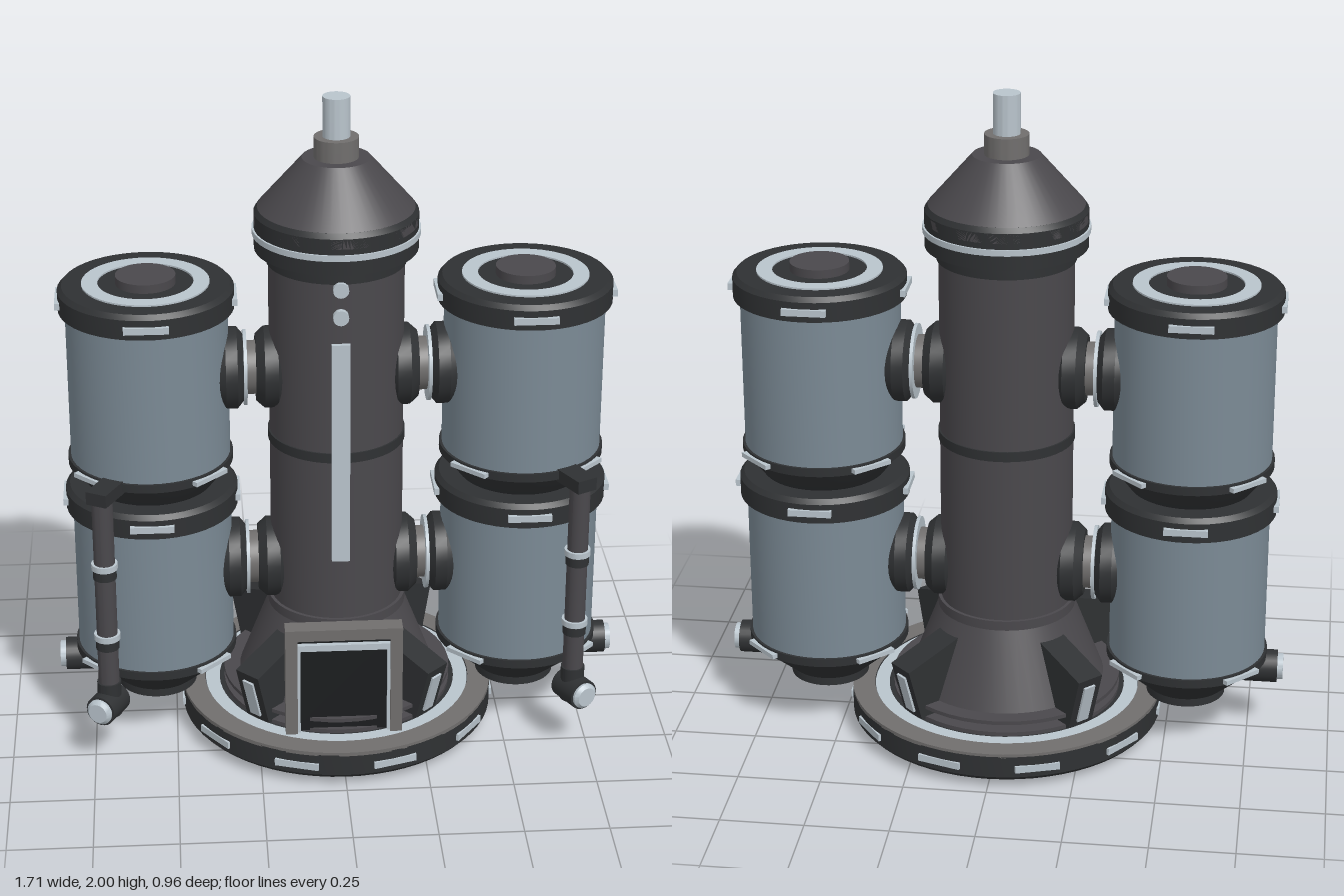
import * as THREE from 'three';
import { toCreasedNormals } from 'three/addons/utils/BufferGeometryUtils.js';

const mat = (color, extra = {}) => new THREE.MeshStandardMaterial({ color, ...extra });
const dark = mat(0x2f3133), black = mat(0x1b1d1f), shell = mat(0x4a484c), grey = mat(0x706e6d);
const blue = mat(0x7b8a95), light = mat(0xb9c4cc);

function add(parent, name, geo, material, x = 0, y = 0, z = 0) {
  const m = new THREE.Mesh(geo, material);
  m.name = name;
  m.position.set(x, y, z);
  parent.add(m);
  return m;
}

// Turned part from [radius, height] points, bottom to top, with sharp edges kept
function turned(points, segments = 48) {
  const g = new THREE.LatheGeometry(points.map(([r, y]) => new THREE.Vector2(r, y)), segments);
  return toCreasedNormals(g, 0.35);
}
const drum = (r, y0, y1, seg) => turned([[0, y0], [r, y0], [r, y1], [0, y1]], seg);
const box = (w, h, d) => new THREE.BoxGeometry(w, h, d);

// Group turned about y so its +z points outward at the given angle
function spoke(parent, name, angle) {
  const g = new THREE.Group();
  g.name = name;
  g.rotation.y = angle;
  parent.add(g);
  return g;
}

// Evenly spaced light plates around a rim
function plates(parent, count, start, radius, y, w, h) {
  for (let i = 0; i < count; i++) {
    const s = spoke(parent, 'rimPlate', start + (i * 2 * Math.PI) / count);
    add(s, 'plate', box(w, h, 0.03), light, 0, y, radius - 0.01);
  }
}

function doorway(halfW, top, wall, bottom) {
  const s = new THREE.Shape();
  const i = halfW - wall, t = top - wall;
  [[-halfW, bottom], [-i, bottom], [-i, t], [i, t], [i, bottom], [halfW, bottom], [halfW, top], [-halfW, top]]
    .forEach(([x, y], k) => (k ? s.lineTo(x, y) : s.moveTo(x, y)));
  return s;
}
const extrude = (shape, depth) => new THREE.ExtrudeGeometry(shape, { depth, bevelEnabled: false });

function buildBase() {
  const g = new THREE.Group();
  g.name = 'base';
  add(g, 'baseDisc', turned([[0, 0.026], [0.465, 0.026], [0.478, 0.04], [0.478, 0.108], [0, 0.108]], 64), dark);
  add(g, 'baseLip', turned([[0.41, 0.105], [0.478, 0.105], [0.478, 0.117], [0.41, 0.117]], 64), grey);
  add(g, 'lightRing', turned([[0.365, 0.1], [0.408, 0.1], [0.408, 0.114], [0.365, 0.114]], 64), light);
  add(g, 'skirt', turned([[0.35, 0.1], [0.35, 0.12], [0.3, 0.12], [0.3, 0.145], [0.35, 0.145], [0.35, 0.157],
    [0.3, 0.157], [0.21, 0.39], [0.21, 0.42], [0.19, 0.42]]), shell);
  plates(g, 10, Math.PI / 10, 0.476, 0.068, 0.135, 0.022);

  // Diagonal buttresses with feet below the disc
  const fin = new THREE.Shape([[0.15, 0.11], [0.36, 0.11], [0.407, 0.285], [0.15, 0.37]]
    .map(([x, y]) => new THREE.Vector2(x, y)));
  for (let i = 0; i < 4; i++) {
    const s = spoke(g, 'buttress', Math.PI / 4 + (i * Math.PI) / 2);
    add(s, 'fin', extrude(fin, 0.09), dark, 0.045).rotation.y = -Math.PI / 2;
    add(s, 'finStrip', box(0.04, 0.13, 0.012), light, 0, 0.195, 0.384).rotation.x = 0.26;
    add(s, 'foot', box(0.085, 0.03, 0.045), dark, 0, 0.015, 0.32);
  }

  // Doorway
  add(g, 'doorFrame', extrude(doorway(0.175, 0.468, 0.036, 0.115), 0.055), grey, 0, 0, 0.305);
  add(g, 'doorTrim', extrude(doorway(0.15, 0.412, 0.02, 0.115), 0.03), light, 0, 0, 0.32);
  add(g, 'doorPanel', box(0.3, 0.325, 0.025), black, 0, 0.275, 0.322);
  return g;
}

function buildColumn() {
  const g = new THREE.Group();
  g.name = 'column';
  add(g, 'columnBody', drum(0.2, 0.1, 1.56), shell);
  add(g, 'middleBand', drum(0.205, 0.94, 0.97), dark);
  add(g, 'upperBand', drum(0.206, 1.505, 1.535), dark);
  add(g, 'headCollar', turned([[0, 1.545], [0.24, 1.545], [0.24, 1.655], [0.23, 1.67], [0, 1.67]]), dark);
  add(g, 'headRing', drum(0.246, 1.59, 1.608), light);
  add(g, 'headCone', turned([[0.24, 1.625], [0.24, 1.655], [0.228, 1.672], [0.1, 1.818], [0, 1.818]]), shell);
  add(g, 'mastSocket', drum(0.065, 1.81, 1.88), grey);
  add(g, 'mast', drum(0.04, 1.87, 2), light);
  add(g, 'frontStrip', box(0.054, 0.7, 0.03), light, 0, 0.97, 0.199);
  for (const y of [1.405, 1.49])
    add(g, 'frontLamp', drum(0.023, 0, 0.03, 20), light, 0, y, 0.188).rotation.x = Math.PI / 2;
  return g;
}

function buildTank() {
  const g = new THREE.Group();
  g.name = 'tankStack';
  add(g, 'bottomCone', turned([[0, 0.12], [0.12, 0.12], [0.12, 0.145], [0.24, 0.25], [0, 0.25]]), dark);
  add(g, 'lowerTank', drum(0.238, 0.25, 0.76), blue);
  add(g, 'upperTank', drum(0.238, 0.89, 1.4), blue);
  add(g, 'waist', turned([[0.17, 0.8], [0.185, 0.81], [0.238, 0.88], [0.238, 0.89]]), dark);
  // Bands and caps
  for (const [y, r, h] of [[0.25, 0.246, 0.026], [0.88, 0.246, 0.026]]) add(g, 'thinBand', drum(r, y, y + h), dark);
  for (const y of [0.735, 1.37])
    add(g, 'cap', turned([[0, y], [0.258, y], [0.258, y + 0.06], [0.245, y + 0.074], [0, y + 0.074]]), dark);
  plates(g, 4, 0, 0.26, 1.4, 0.13, 0.02);
  plates(g, 4, 0, 0.26, 0.768, 0.13, 0.02);
  plates(g, 4, Math.PI / 4, 0.25, 0.893, 0.13, 0.014);
  plates(g, 4, Math.PI / 4, 0.25, 0.263, 0.13, 0.014);
  add(g, 'lidRing', turned([[0.14, 1.43], [0.187, 1.43], [0.187, 1.449], [0.14, 1.449], [0.14, 1.43]]), light);
  add(g, 'lidHatch', drum(0.088, 1.43, 1.47), shell);
  return g;
}

// Stack, couplings and pipe on one side: s = 1 for left, -1 for right
function buildSide(s) {
  const g = new THREE.Group();
  g.name = s > 0 ? 'leftTankAssembly' : 'rightTankAssembly';
  const tank = buildTank();
  tank.position.x = s * 0.557;
  g.add(tank);

  // Couplings to the column
  for (const y of [1.167, 0.535]) {
    const c = new THREE.Group();
    c.name = 'coupling';
    c.position.y = y;
    c.rotation.z = -s * Math.PI / 2;
    g.add(c);
    add(c, 'columnHub', turned([[0, 0.13], [0.1, 0.155], [0.122, 0.175], [0.122, 0.215], [0.1, 0.24], [0, 0.24]], 32), dark);
    add(c, 'couplingNeck', drum(0.08, 0.23, 0.28, 32), grey);
    add(c, 'couplingRing', drum(0.113, 0.267, 0.277, 32), light);
    add(c, 'tankHub', turned([[0, 0.277], [0.1, 0.277], [0.122, 0.295], [0.122, 0.33], [0.11, 0.36], [0, 0.36]], 32), dark);
  }

  // Outer nozzle
  const n = spoke(tank, 'nozzle', s * Math.PI / 2);
  add(n, 'nozzleBody', drum(0.05, 0.15, 0.28, 24), dark, 0, 0.215, 0).rotation.x = Math.PI / 2;
  add(n, 'nozzleCap', drum(0.04, 0.27, 0.297, 24), light, 0, 0.215, 0).rotation.x = Math.PI / 2;

  // Drain pipe on the outer front
  const p = spoke(tank, 'drainPipe', s * 0.49);
  add(p, 'pipe', drum(0.031, 0.19, 0.9, 24), shell, 0, 0, 0.305);
  add(p, 'pipeTop', box(0.066, 0.04, 0.12), dark, 0, 0.89, 0.28);
  for (const y of [0.425, 0.66]) add(p, 'pipeClamp', drum(0.039, y - 0.009, y + 0.009, 24), light, 0, 0, 0.305);
  for (const y of [0.405, 0.64]) add(p, 'pipeSleeve', drum(0.035, y - 0.02, y + 0.02, 24), dark, 0, 0, 0.305);
  add(p, 'pipeFoot', drum(0.036, 0.16, 0.27, 24), dark, 0, 0, 0.305);
  add(p, 'valve', drum(0.047, 0.265, 0.365, 24), dark, 0, 0.195, 0).rotation.x = Math.PI / 2;
  add(p, 'valveCap', turned([[0, 0.35], [0.04, 0.35], [0.04, 0.372], [0.03, 0.382], [0, 0.382]], 24), light, 0, 0.195, 0)
    .rotation.x = Math.PI / 2;
  return g;
}

export function createModel() {
  const model = new THREE.Group();
  model.name = 'tankTower';
  model.add(buildBase(), buildColumn(), buildSide(1), buildSide(-1));
  return model;
}
